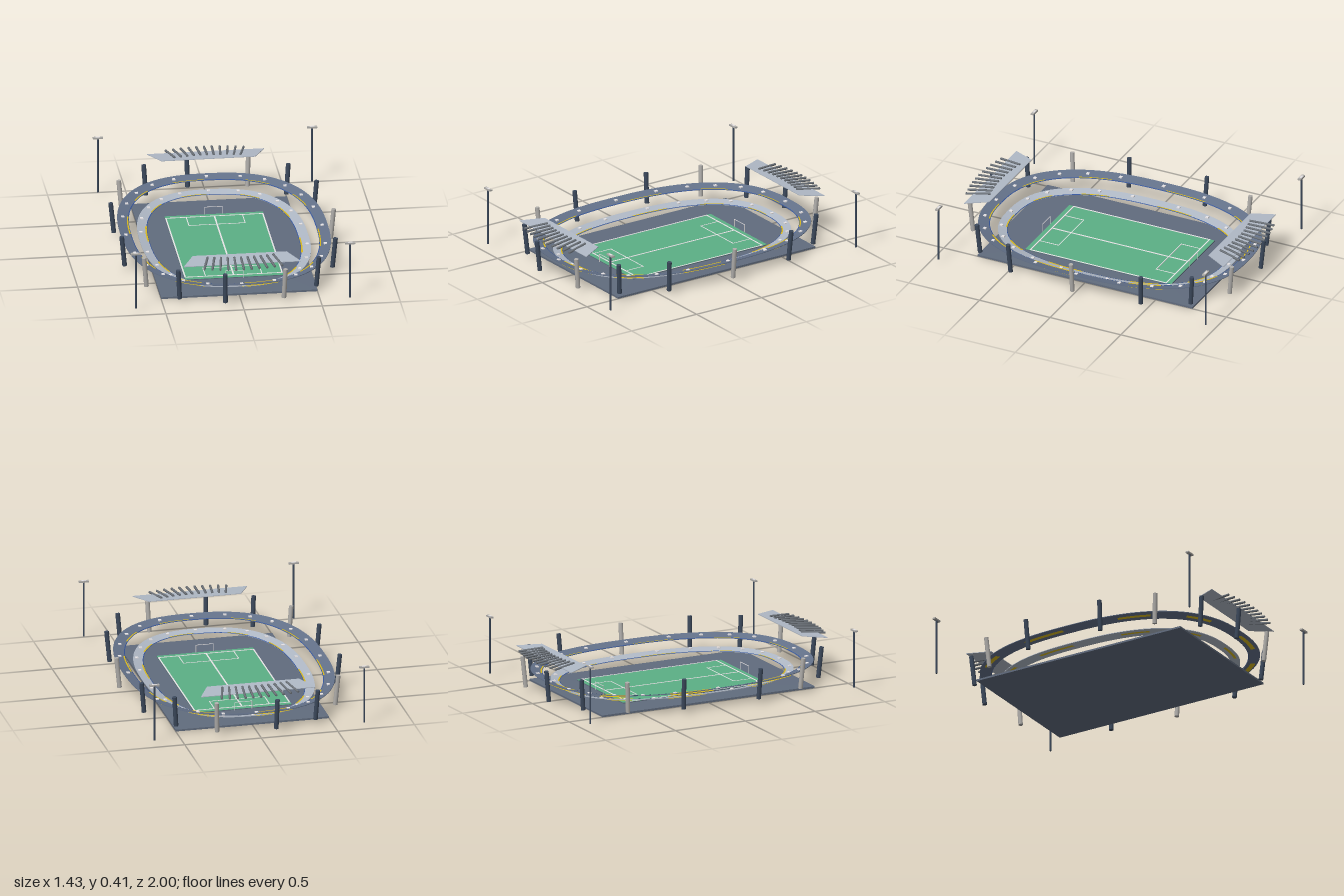
import * as THREE from 'three';

const paint = (name, color, side = THREE.FrontSide) => {
  const m = new THREE.MeshStandardMaterial({ color, side });
  m.name = name;
  return m;
};

export function createModel() {
  const model = new THREE.Group();
  model.name = 'stadium';
  const ground = paint('groundSlate', 0x616c7e);
  const grass = paint('grassGreen', 0x5bb086);
  const white = paint('lineWhite', 0xe9e6e8);
  const pale = paint('paleConcrete', 0xb0b9c6, THREE.DoubleSide);
  const slate = paint('upperSlate', 0x64728a, THREE.DoubleSide);
  const dark = paint('darkSteel', 0x3c495c);
  const warm = paint('warmGrey', 0xb0aeab);
  const yellow = paint('seatYellow', 0xd9b81c, THREE.DoubleSide);
  const blue = paint('trimBlue', 0x34549a, THREE.DoubleSide);
  const finGrey = paint('finGrey', 0x6e747b);

  const add = (name, geo, mat, parent = model) => {
    const mesh = new THREE.Mesh(geo, mat);
    mesh.name = name;
    parent.add(mesh);
    return mesh;
  };
  const group = (name) => {
    const g = new THREE.Group();
    g.name = name;
    model.add(g);
    return g;
  };
  const box = (name, w, h, d, x, y, z, mat, parent) => {
    const mesh = add(name, new THREE.BoxGeometry(w, h, d), mat, parent);
    mesh.position.set(x, y, z);
    return mesh;
  };
  // straight bar between two points
  const bar = (name, p, q, r, sides, mat, parent) => {
    const a = new THREE.Vector3(...p), dir = new THREE.Vector3(...q).sub(a);
    const mesh = add(name, new THREE.CylinderGeometry(r, r, dir.length(), sides), mat, parent);
    mesh.position.copy(a).addScaledVector(dir, 0.5);
    mesh.quaternion.setFromUnitVectors(new THREE.Vector3(0, 1, 0), dir.normalize());
    return mesh;
  };
  // point on the rounded oval plan
  const oval = (ang, a, b, y) => {
    const c = Math.cos(ang), s = Math.sin(ang);
    return [a * Math.sign(c) * Math.abs(c) ** 0.8, y, b * Math.sign(s) * Math.abs(s) ** 0.8];
  };

  // ground slab with a shallow slope up to the pitch base
  box('groundSlab', 1, 0.012, 1.52, 0, 0.006, 0, ground);
  const slope = new THREE.BoxGeometry(1, 0.003, 1.52);
  const sp = slope.attributes.position;
  for (let i = 0; i < sp.count; i++) {
    if (sp.getY(i) > 0) sp.setXYZ(i, Math.sign(sp.getX(i)) * 0.315, sp.getY(i), Math.sign(sp.getZ(i)) * 0.515);
  }
  slope.computeVertexNormals();
  add('groundSlope', slope, ground).position.y = 0.0135;
  box('pitchBase', 0.63, 0.007, 1.03, 0, 0.0165, 0, ground);

  // pitch, markings and goals
  box('pitch', 0.63, 0.001, 1.03, 0, 0.0205, 0, grass);
  const marks = group('pitchMarkings');
  const mark = (w, d, x, z) => box('pitchLine', w, 0.0015, d, x, 0.0217, z, white, marks);
  mark(0.01, 0.96, 0, 0);
  for (const s of [-1, 1]) {
    mark(0.009, 0.96, s * 0.31, 0);
    mark(0.629, 0.009, 0, s * 0.48);
    mark(0.364, 0.006, 0, s * 0.346);
    mark(0.006, 0.134, -0.18, s * 0.413);
    mark(0.006, 0.134, 0.18, s * 0.413);
    const goal = group('goal');
    for (const x of [-0.056, 0.056]) bar('goalPost', [x, 0.015, s * 0.52], [x, 0.068, s * 0.52], 0.002, 6, white, goal);
    bar('goalBar', [-0.056, 0.068, s * 0.52], [0.056, 0.068, s * 0.52], 0.002, 6, white, goal);
  }

  // oval tiers: t runs from inner (0) to outer edge (1), dy lifts off the slope
  const sweep = (tier, profile, from, to, steps) => {
    const [a0, b0, y0, a1, b1, y1] = tier, pos = [];
    const at = ([t, dy], k) => oval(from + (to - from) * k / steps,
      a0 + (a1 - a0) * t, b0 + (b1 - b0) * t, y0 + (y1 - y0) * t + dy);
    for (let k = 0; k < steps; k++) {
      for (let j = 0; j < profile.length - 1; j++) {
        const p = at(profile[j], k), pn = at(profile[j], k + 1);
        const q = at(profile[j + 1], k), qn = at(profile[j + 1], k + 1);
        pos.push(...p, ...pn, ...q, ...q, ...pn, ...qn);
      }
    }
    const g = new THREE.BufferGeometry();
    g.setAttribute('position', new THREE.Float32BufferAttribute(pos, 3));
    g.computeVertexNormals();
    return g;
  };
  // name, [inner x, z, y, outer x, z, y], deck colour, light count, light offset, light position
  const tiers = [
    ['lowerTier', [0.475, 0.735, 0.061, 0.537, 0.79, 0.075], pale, 22, 0.5, 0.65],
    ['upperTier', [0.592, 0.84, 0.117, 0.662, 0.908, 0.135], slate, 24, 0, 0.5],
  ];
  const TAU = Math.PI * 2;
  for (const [name, tier, mat, lights, offset, t] of tiers) {
    const g = group(name);
    const [a0, b0, y0, a1, b1, y1] = tier, rise = y1 - y0;
    add('tierDeck', sweep(tier, [[0, 0], [1, 0], [1, -0.004], [0, -0.004], [0, 0]], 0, TAU, 120), mat, g);
    add('innerTrim', sweep(tier, [[-0.05, 0.0005], [0.03, 0.0012]], 0, TAU, 120), blue, g);
    // level seat plates, showing along the inner edge and beneath the deck
    for (let i = 0; i < 20; i++) {
      const mid = (i + 0.5) * TAU / 20;
      const plate = [[0, 0.0022], [0.75, 0.0022 - 0.75 * rise]];
      if (i % 2 === 0) add('seatPlate', sweep(tier, plate, mid - 0.14, mid + 0.14, 6), yellow, g);
    }
    for (let i = 0; i < lights; i++) {
      const p = oval((i + offset) * TAU / lights, a0 + (a1 - a0) * t, b0 + (b1 - b0) * t, y0 + rise * t + 0.003);
      box('deckLight', 0.02, 0.007, 0.02, ...p, white, g);
    }
  }

  // leaning perimeter columns
  const columns = group('columns');
  for (let i = 0; i < 15; i++) {
    const ang = i * TAU / 15;
    bar('column', oval(ang, 0.682, 0.945, 0.034), oval(ang, 0.702, 0.965, 0.235), 0.015, 8, i % 3 ? dark : warm, columns);
  }

  // end canopies with fanned fins
  for (const s of [-1, 1]) {
    const roof = group('endCanopy');
    const panel = new THREE.BoxGeometry(1, 0.004, 1);
    const pp = panel.attributes.position;
    for (let i = 0; i < pp.count; i++) {
      const outer = pp.getZ(i) > 0;
      pp.setXYZ(i, Math.sign(pp.getX(i)) * (outer ? 0.375 : 0.3),
        pp.getY(i) + (outer ? 0.281 : 0.291), outer ? 0.918 : 0.775);
    }
    panel.computeVertexNormals();
    add('canopyPanel', panel, pale, roof);
    for (let i = -5; i <= 5; i++) {
      bar('canopyFin', [i * 0.042, 0.294, 0.838 - 0.001 * i * i],
        [i * 0.05, 0.279, 1 - 0.0013 * i * i], 0.0078, 6, finGrey, roof);
    }
    if (s < 0) roof.rotation.y = Math.PI;
  }

  // corner floodlights
  for (const x of [-0.685, 0.685]) {
    for (const z of [-0.945, 0.945]) {
      const lamp = group('floodlight');
      bar('mast', [x, 0.026, z], [x, 0.4, z], 0.006, 8, dark, lamp);
      box('lampHead', 0.064, 0.01, 0.021, x, 0.4, z, warm, lamp);
      box('lampPanel', 0.03, 0.003, 0.012, x, 0.4055, z, white, lamp);
    }
  }
  return model;
}
